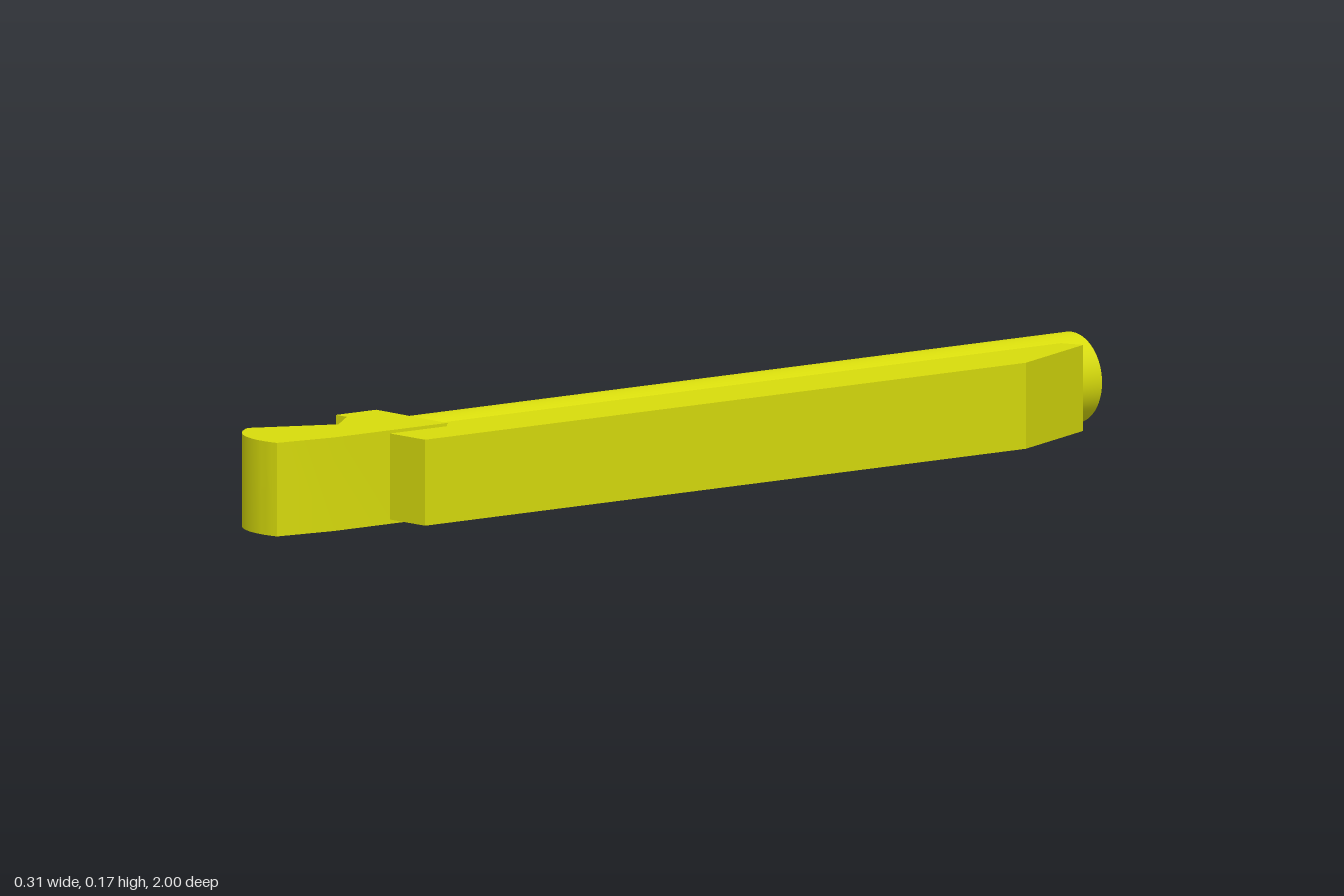
import * as THREE from 'three';
import { toCreasedNormals } from 'three/addons/utils/BufferGeometryUtils.js';

const material = new THREE.MeshStandardMaterial({ color: 0xd8dc0c });

// Plan outline given as [x, z], extruded upward from y0 to y1
function slab(name, shape, y0, y1) {
  const geo = new THREE.ExtrudeGeometry(shape, { depth: y1 - y0, bevelEnabled: false, curveSegments: 16 });
  geo.rotateX(-Math.PI / 2).translate(0, y0, 0);
  const mesh = new THREE.Mesh(toCreasedNormals(geo, 0.4), material);
  mesh.name = name;
  return mesh;
}

function outline(points) {
  const shape = new THREE.Shape();
  points.forEach(([x, z], i) => (i ? shape.lineTo(x, -z) : shape.moveTo(x, -z)));
  return shape;
}

export function createModel() {
  const group = new THREE.Group();
  group.name = 'firingPin';

  // Round rod running to the back
  const rodGeo = new THREE.CylinderGeometry(0.084, 0.084, 1.62, 64);
  rodGeo.rotateX(Math.PI / 2);
  const rod = new THREE.Mesh(rodGeo, material);
  rod.name = 'rod';
  rod.position.set(-0.064, 0.086, -0.19);
  group.add(rod);

  // Flat side bar with a slanted back end and a tiny relief notch by the head
  group.add(slab('sideBar', outline([
    [0.012, -0.908], [0.055, -0.925], [0.152, -0.705], [0.152, 0.735], [0.012, 0.735],
    [0.012, 0.594], [0.033, 0.594], [0.033, 0.578], [0.012, 0.578],
  ]), 0.008, 0.167));

  // Hooked head with a rounded nose
  const head = outline([
    [0.053, 0.598], [-0.153, 0.593], [-0.153, 0.69], [-0.122, 0.69], [-0.063, 0.76], [-0.137, 0.915],
  ]);
  head.bezierCurveTo(-0.105, -0.975, -0.035, -1.008, 0.036, -0.992);
  head.lineTo(0.053, -0.87);
  head.closePath();
  group.add(slab('hookedHead', head, 0, 0.173));

  return group;
}
